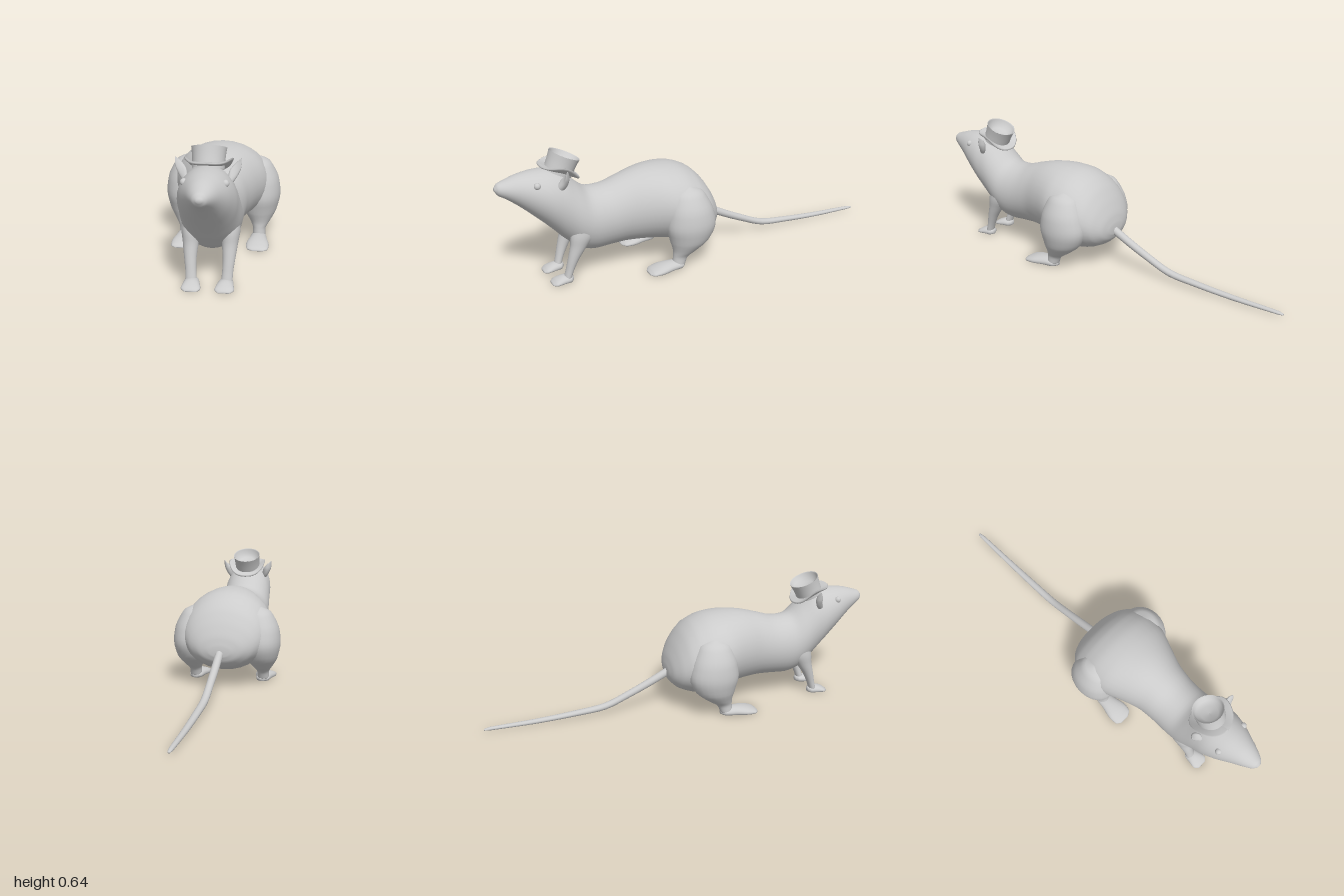
import * as THREE from 'three';

const mat = new THREE.MeshStandardMaterial({ color: 0xcccccc, side: THREE.DoubleSide });

function add(parent, name, geometry) {
  const mesh = new THREE.Mesh(geometry, mat);
  mesh.name = name;
  parent.add(mesh);
  return mesh;
}

// Smooth skin through elliptical sections [x, y, z, halfWidth, halfDepth].
// Upright sections (axis 'y') run towards +z; flat sections (axis 'z') run downwards.
function loft(sections, axis, seg = 24, sub = 4, floor = -1) {
  const centres = new THREE.CatmullRomCurve3(sections.map(s => new THREE.Vector3(s[0], s[1], s[2])));
  const sizes = new THREE.CatmullRomCurve3(sections.map(s => new THREE.Vector3(s[3], s[4], 0)));
  const n = (sections.length - 1) * sub;
  const pos = [], idx = [];
  for (let i = 0; i <= n; i++) {
    const c = centres.getPoint(i / n), r = sizes.getPoint(i / n);
    for (let j = 0; j < seg; j++) {
      const t = (j / seg) * Math.PI * 2;
      const u = Math.cos(t) * Math.max(r.x, 0.001), v = Math.sin(t) * Math.max(r.y, 0.001);
      pos.push(c.x + u, Math.max(floor, c.y + (axis === 'y' ? v : 0)), c.z + (axis === 'z' ? v : 0));
    }
  }
  for (let i = 0; i < n; i++) for (let j = 0; j < seg; j++) {
    const k = (j + 1) % seg, a = i * seg + j, b = i * seg + k, c = a + seg, d = b + seg;
    idx.push(a, b, d, a, d, c);
  }
  // end caps
  [[0, sections[0]], [n, sections[sections.length - 1]]].forEach(([ring, s]) => {
    const m = pos.length / 3;
    pos.push(s[0], s[1], s[2]);
    for (let j = 0; j < seg; j++) {
      const a = ring * seg + j, b = ring * seg + (j + 1) % seg;
      if (ring) idx.push(m, a, b); else idx.push(m, b, a);
    }
  });
  const g = new THREE.BufferGeometry();
  g.setAttribute('position', new THREE.Float32BufferAttribute(pos, 3));
  g.setIndex(idx);
  g.computeVertexNormals();
  return g;
}

export function createModel() {
  const model = new THREE.Group();
  model.name = 'rat';

  // Body and head: [z, bottom, top, halfWidth] from rump to nose
  const profile = [
    [-0.082, 0.18, 0.23, 0.05], [-0.07, 0.15, 0.28, 0.11], [-0.04, 0.12, 0.345, 0.165],
    [0, 0.1, 0.405, 0.2], [0.05, 0.085, 0.45, 0.22], [0.12, 0.09, 0.48, 0.23], [0.2, 0.108, 0.49, 0.22],
    [0.3, 0.12, 0.485, 0.18], [0.4, 0.125, 0.46, 0.145], [0.5, 0.12, 0.432, 0.135],
    [0.58, 0.12, 0.437, 0.135], [0.64, 0.145, 0.485, 0.135], [0.7, 0.2, 0.54, 0.13],
    [0.76, 0.265, 0.555, 0.125], [0.83, 0.335, 0.555, 0.105], [0.9, 0.4, 0.545, 0.073],
    [0.95, 0.44, 0.53, 0.05], [0.985, 0.463, 0.518, 0.03], [1, 0.485, 0.5, 0.01],
  ];
  add(model, 'body', loft(profile.map(([z, lo, hi, w]) => [0, (lo + hi) / 2, z, w, (hi - lo) / 2]), 'y', 32));

  // Tail, from tip to root
  add(model, 'tail', loft([
    [0, 0.014, -1, 0.006, 0.004], [0, 0.016, -0.97, 0.011, 0.008], [0, 0.02, -0.75, 0.015, 0.012],
    [0, 0.032, -0.55, 0.018, 0.014], [0, 0.048, -0.4, 0.019, 0.017], [0, 0.095, -0.28, 0.019, 0.019],
    [0, 0.145, -0.17, 0.02, 0.021], [0, 0.195, -0.07, 0.02, 0.023], [0, 0.22, -0.02, 0.02, 0.023],
  ], 'y', 14));

  for (const s of [1, -1]) {
    const side = s > 0 ? 'left' : 'right';
    const mirror = list => list.map(([x, ...rest]) => [x * s, ...rest]);

    // Hind leg with a bulging thigh
    add(model, side + 'HindLeg', loft(mirror([
      [0.16, 0.41, 0.12, 0.01, 0.01], [0.165, 0.38, 0.12, 0.063, 0.075], [0.18, 0.3, 0.115, 0.09, 0.112],
      [0.185, 0.22, 0.112, 0.095, 0.125], [0.182, 0.14, 0.12, 0.081, 0.1], [0.184, 0.09, 0.145, 0.05, 0.062],
      [0.182, 0.055, 0.17, 0.031, 0.038], [0.182, 0.012, 0.182, 0.03, 0.03],
    ]), 'z'));
    add(model, side + 'HindFoot', loft(mirror([
      [0.18, 0.015, 0.15, 0.012, 0.01], [0.18, 0.015, 0.17, 0.034, 0.02], [0.18, 0.014, 0.22, 0.042, 0.026],
      [0.18, 0.01, 0.28, 0.055, 0.024], [0.182, 0.006, 0.325, 0.05, 0.014], [0.185, 0.004, 0.342, 0.025, 0.005],
    ]), 'y', 20, 4, 0.002));

    // Front leg
    add(model, side + 'FrontLeg', loft(mirror([
      [0.085, 0.32, 0.61, 0.035, 0.05], [0.085, 0.24, 0.625, 0.044, 0.06], [0.085, 0.18, 0.65, 0.036, 0.042],
      [0.084, 0.12, 0.678, 0.028, 0.028], [0.08, 0.06, 0.7, 0.024, 0.02], [0.077, 0.012, 0.715, 0.025, 0.018],
    ]), 'z', 20));
    add(model, side + 'FrontFoot', loft(mirror([
      [0.076, 0.015, 0.685, 0.012, 0.01], [0.075, 0.014, 0.7, 0.03, 0.02], [0.073, 0.012, 0.735, 0.037, 0.023],
      [0.072, 0.008, 0.77, 0.042, 0.015], [0.071, 0.004, 0.79, 0.025, 0.006],
    ]), 'y', 20, 4, 0.002));

    // Pointed ear, cupped towards the front
    const ear = loft(mirror([
      [0.137, 0.572, 0.69, 0.002, 0.002], [0.125, 0.55, 0.695, 0.014, 0.008], [0.112, 0.525, 0.7, 0.022, 0.014],
      [0.101, 0.495, 0.71, 0.018, 0.018], [0.09, 0.465, 0.72, 0.008, 0.014],
    ]), 'z', 16);
    const p = ear.attributes.position;
    for (let i = 0; i < p.count; i++) {
      const across = (Math.abs(p.getX(i)) - 0.115) / 0.025;
      p.setZ(i, p.getZ(i) + 0.012 * Math.min(across * across, 1));
    }
    ear.computeVertexNormals();
    add(model, side + 'Ear', ear);

    const eye = add(model, side + 'Eye', new THREE.SphereGeometry(0.016, 16, 12));
    eye.position.set(0.084 * s, 0.507, 0.825);
  }

  // Top hat: brim curled up at the sides, flared crown with a hollow top
  const hat = new THREE.Group();
  hat.name = 'hat';
  hat.position.set(0, 0.535, 0.7);
  hat.rotation.x = -0.43;
  const lathe = pts => new THREE.LatheGeometry(pts.map(([x, y]) => new THREE.Vector2(x, y)), 32);
  const brim = lathe([[0.06, -0.005], [0.1, -0.005], [0.104, 0], [0.1, 0.006], [0.06, 0.006]]);
  const b = brim.attributes.position;
  for (let i = 0; i < b.count; i++) b.setY(i, b.getY(i) + 0.033 * (b.getX(i) / 0.1) ** 4);
  brim.computeVertexNormals();
  add(hat, 'brim', brim);
  add(hat, 'crown', lathe([[0.068, -0.01], [0.069, 0.03], [0.072, 0.06], [0.075, 0.08]]));
  add(hat, 'crownHollow', lathe([[0.075, 0.08], [0.069, 0.077], [0.062, 0.055], [0.04, 0.042], [0.001, 0.038]]));
  model.add(hat);

  return model;
}
